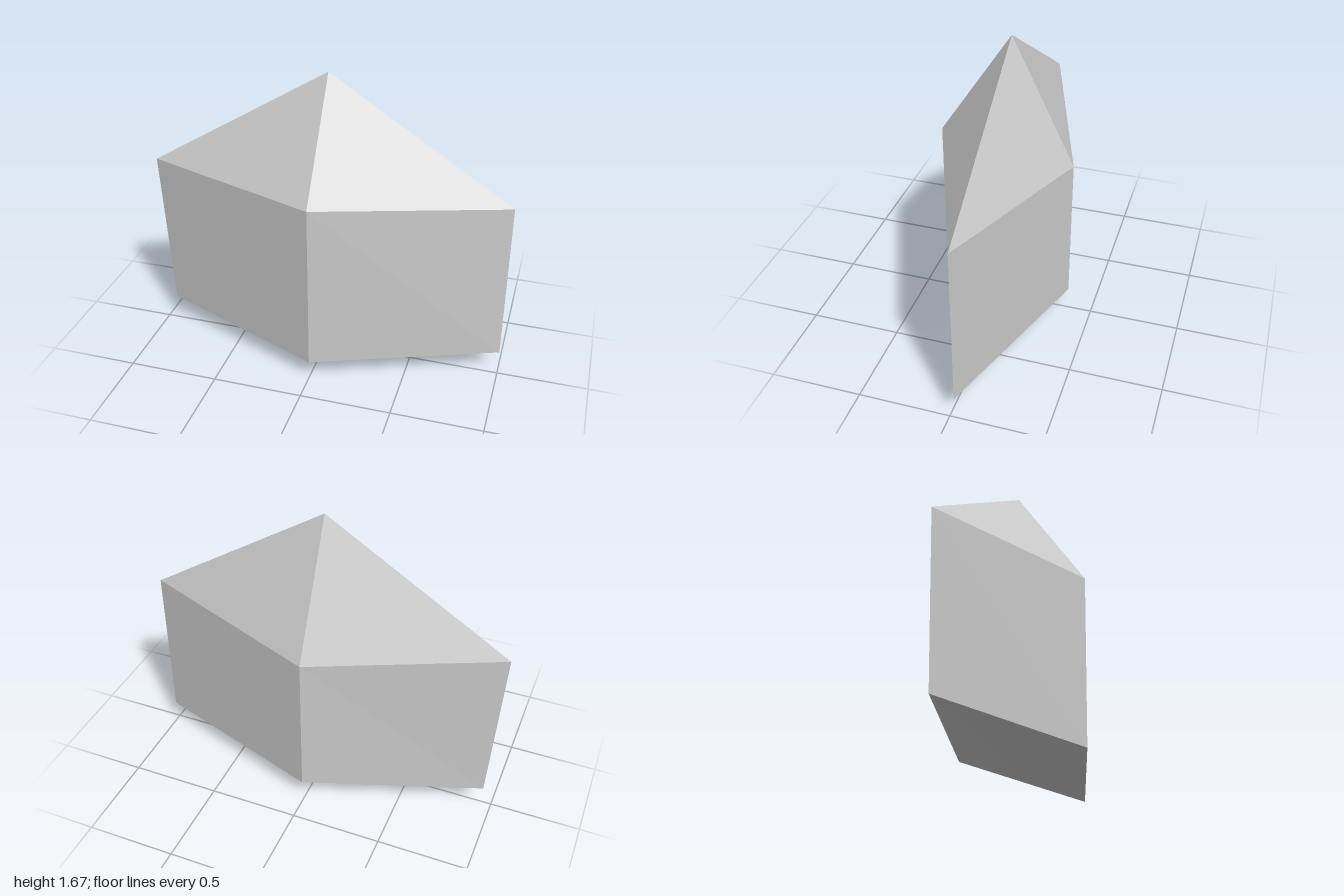
import * as THREE from 'three';

// Corner rings, running left edge, front, right edge, back
const upperRing = [[-1, 1.05, -0.025], [0.005, 1.075, 0.37], [1, 1.035, -0.025], [0.005, 0.965, -0.365]];
const lowerRing = [[-0.95, 0.13, -0.025], [0.005, 0.12, 0.355], [1, 0.125, -0.025], [0.005, 0.135, -0.365]];
const topPoint = [0.005, 1.675, -0.022];
const bottomPoint = [0.005, 0, -0.022];

const material = new THREE.MeshStandardMaterial({ color: 0xcccccc, flatShading: true });

// Builds one faceted mesh from a rule giving the triangles between corner a and corner b
function facetBand(name, facets) {
  const corners = [];
  for (let a = 0; a < 4; a++) corners.push(...facets(a, (a + 1) % 4));
  const geometry = new THREE.BufferGeometry();
  geometry.setAttribute('position', new THREE.Float32BufferAttribute(corners.flat(), 3));
  geometry.computeVertexNormals();
  const mesh = new THREE.Mesh(geometry, material);
  mesh.name = name;
  return mesh;
}

export function createModel() {
  const crystal = new THREE.Group();
  crystal.name = 'crystal';
  crystal.add(
    // Tall pointed top
    facetBand('crystalTip', (a, b) => [upperRing[a], upperRing[b], topPoint]),
    // Four upright faces
    facetBand('crystalBody', (a, b) => [
      lowerRing[a], lowerRing[b], upperRing[a],
      upperRing[a], lowerRing[b], upperRing[b],
    ]),
    // Shallow pointed underside
    facetBand('crystalBase', (a, b) => [lowerRing[b], lowerRing[a], bottomPoint]),
  );
  return crystal;
}
